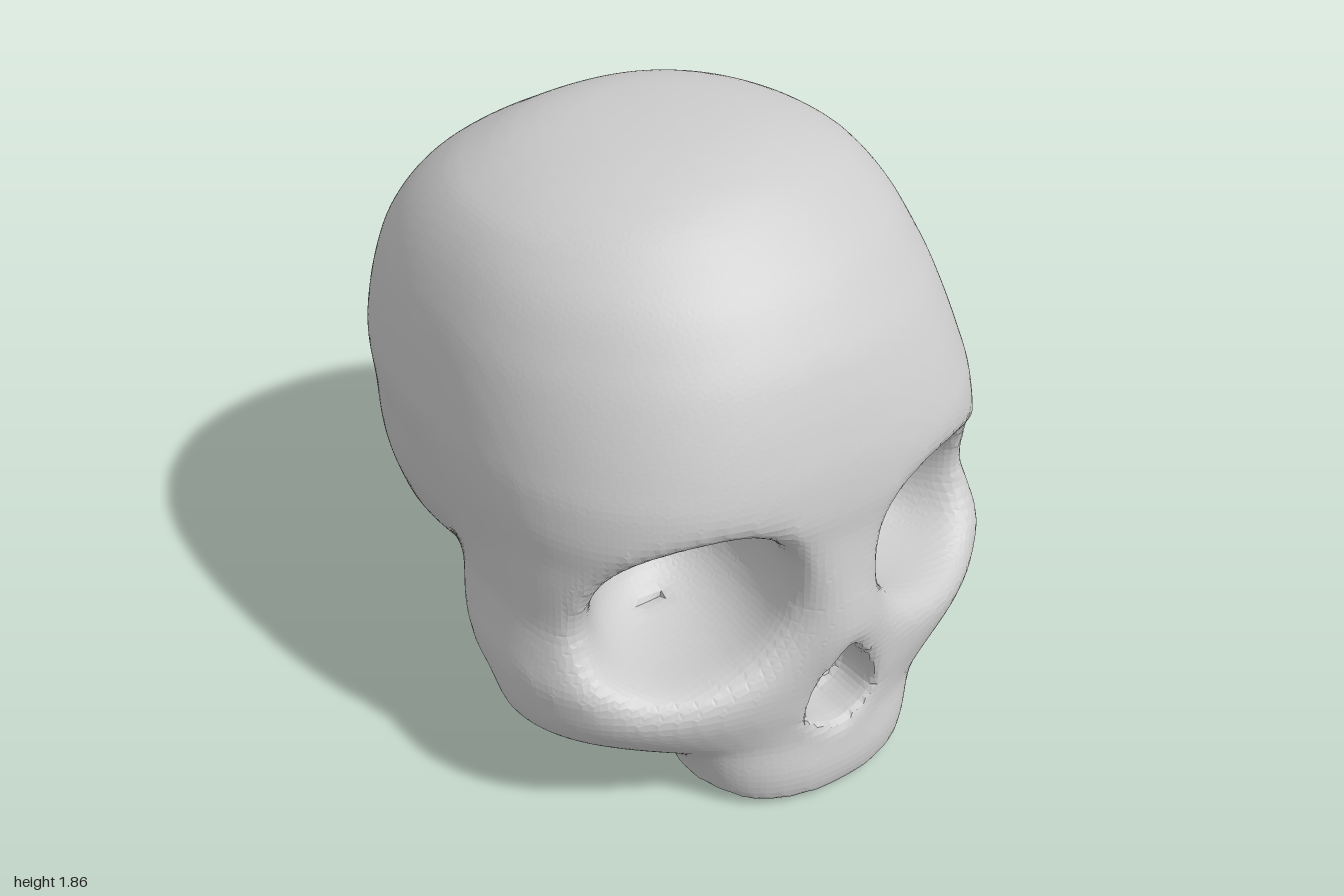
import * as THREE from 'three';

// Smooth monotone curve through rows of [y, a, b, ...]; returns y => [a, b, ...]
function profile(rows) {
  const slopes = rows.slice(1).map((r, i) => r.map((v, c) => (v - rows[i][c]) / (r[0] - rows[i][0])));
  const tangents = rows.map((r, i) => r.map((_, c) => {
    const a = (slopes[i - 1] ?? slopes[i])[c], b = (slopes[i] ?? slopes[i - 1])[c];
    return a * b > 0 ? (2 * a * b) / (a + b) : 0;
  }));
  return (y) => {
    const last = rows.length - 1;
    if (y <= rows[0][0]) return rows[0].slice(1);
    if (y >= rows[last][0]) return rows[last].slice(1);
    let i = 0;
    while (y > rows[i + 1][0]) i++;
    const h = rows[i + 1][0] - rows[i][0], t = (y - rows[i][0]) / h, s = 1 - t;
    const out = [];
    for (let c = 1; c < rows[0].length; c++) {
      out.push(s * s * (1 + 2 * t) * rows[i][c] + t * t * (3 - 2 * t) * rows[i + 1][c]
        + h * t * s * (s * tangents[i][c] - t * tangents[i + 1][c]));
    }
    return out;
  };
}

// Soft blends of two solids (negative inside)
const join = (a, b, k) => Math.min(a, b) - Math.max(k - Math.abs(a - b), 0) ** 2 / (4 * k);
const carve = (a, b, k) => -join(-a, b, k);

// Rounded horizontal section with half width w, widest at zm, from zb to zf
function section(x, z, w, zf, zm, zb, nFront, nBack) {
  const d = z - zm, n = d > 0 ? nFront : nBack;
  const h = Math.max(d > 0 ? zf - zm : zm - zb, 0.002), hw = Math.max(w, 0.002);
  const q = (Math.abs(x) / hw) ** n + (Math.abs(d) / h) ** n;
  return (q ** (1 / n) - 1) * Math.min(hw, h, 0.5);
}

// Braincase: y, half width, front z, back z, squareness of the front
const craniumRows = profile([
  [0.185, 0.02, -0.39, -0.43, 2], [0.2, 0.2, -0.28, -0.51, 2], [0.25, 0.36, -0.18, -0.64, 2],
  [0.3, 0.46, -0.14, -0.72, 2], [0.4, 0.57, -0.1, -0.81, 2.1], [0.45, 0.62, 0, -0.835, 2.2],
  [0.5, 0.66, 0.15, -0.855, 2.3], [0.6, 0.72, 0.4, -0.89, 2.5], [0.8, 0.79, 0.7, -0.955, 2.6],
  [1, 0.815, 0.92, -0.993, 2.8], [1.1, 0.822, 0.915, -1, 2.75], [1.2, 0.81, 0.89, -0.985, 2.6],
  [1.4, 0.77, 0.805, -0.91, 2.35], [1.5, 0.735, 0.74, -0.84, 2.25], [1.6, 0.685, 0.66, -0.74, 2.2],
  [1.7, 0.605, 0.55, -0.6, 2.1], [1.75, 0.53, 0.485, -0.515, 2.1], [1.8, 0.42, 0.4, -0.425, 2],
  [1.84, 0.27, 0.27, -0.3, 2], [1.855, 0.15, 0.16, -0.18, 2], [1.862, 0.02, 0.02, -0.04, 2],
]);
function cranium(x, y, z) {
  const [w, zf, zb, n] = craniumRows(y);
  return Math.max(section(x, z, w, zf, 0.52 * zf + 0.48 * zb, zb, n, 2.25), y - 1.862, 0.185 - y);
}

// Face, cheekbones and upper jaw: y, half width, front z, widest z, back z, squareness of the front
const faceRows = profile([
  [0, 0.3, 0.965, 0.75, 0.67, 2.3], [0.03, 0.38, 0.985, 0.67, 0.59, 2.3], [0.1, 0.4, 0.99, 0.66, 0.53, 2.3],
  [0.18, 0.46, 0.975, 0.6, 0.45, 2.2], [0.22, 0.58, 0.97, 0.52, 0.41, 1.85], [0.27, 0.74, 0.965, 0.46, 0.35, 1.8],
  [0.32, 0.82, 0.96, 0.43, 0.27, 1.9], [0.37, 0.84, 0.96, 0.42, 0.18, 2.05], [0.41, 0.845, 0.955, 0.42, 0.06, 2.15],
  [0.425, 0.845, 0.955, 0.42, -0.08, 2.2], [0.45, 0.845, 0.955, 0.42, -0.16, 2.2],
  [0.5, 0.845, 0.95, 0.42, -0.2, 2.3], [0.6, 0.82, 0.95, 0.4, -0.25, 2.3], [0.7, 0.8, 0.945, 0.35, -0.3, 2.3],
  [0.85, 0.8, 0.94, 0.3, -0.4, 2.35], [1, 0.8, 0.925, 0.2, -0.4, 2.5], [1.18, 0.74, 0.87, 0.1, -0.4, 2.4],
]);
function face(x, y, z) {
  const [w, zf, zm, zb, n] = faceRows(y);
  const bridge = 0.05 * Math.exp(-((x / 0.14) ** 2) - ((y - 0.6) / 0.2) ** 2);
  return Math.max(section(x, z, w, zf + bridge, zm, zb, n, 2.6), y - 1.18, 0.25 * x * x - y);
}

// Hollow under the face, open to the back: y, half width, front z
const hollowRows = profile([
  [-0.05, 0.28, 0.85], [0.1, 0.28, 0.83], [0.2, 0.37, 0.75], [0.27, 0.58, 0.69], [0.35, 0.71, 0.64],
  [0.45, 0.71, 0.56], [0.5, 0.62, 0.48], [0.54, 0.36, 0.4], [0.56, 0.04, 0.34],
]);
function hollow(x, y, z) {
  const [w, zf] = hollowRows(y);
  return Math.max(section(x, z, w, zf, 0.3, -3, 2.4, 8), y - 0.56);
}

// Eye sockets: mirrored bowls that lean towards the middle and droop outwards
function sockets(x, y, z) {
  const depth = Math.max(0.87 - z, 0) / 0.52, n = 2.3;
  const u = (Math.abs(x) - 0.448 + 0.13 * depth) / 0.3;
  const v = (y - 0.755 + 0.04 * depth + 0.03 * u) / 0.25;
  return ((Math.abs(u) ** n + Math.abs(v) ** n + depth ** n) ** (1 / n) - 1) * 0.27;
}

// Teardrop nose opening: y, half width
const noseRows = profile([[0.24, 0], [0.27, 0.08], [0.33, 0.125], [0.4, 0.108], [0.5, 0.05], [0.57, 0]]);
const nose = (x, y, z) => Math.max(Math.abs(x) - noseRows(y)[0], 0.78 - z, 0.24 - y, y - 0.57);

function skull(x, y, z) {
  let d = carve(face(x, y, z), hollow(x, y, z), 0.04);
  d = join(cranium(x, y, z), d, 0.03);
  // firm brow, softer lower rim
  const softness = 0.07 + 0.05 * THREE.MathUtils.smoothstep(-y, -0.95, -0.6);
  d = carve(d, sockets(x, y, z), softness);
  return carve(d, nose(x, y, z), 0.025);
}

// Wraps a solid in an even net of quads
function wrap(solid, min, size, cell) {
  const dims = size.map((s) => Math.round(s / cell) + 1);
  const step = [1, dims[0], dims[0] * dims[1]];
  const at = (i, j, k) => [min[0] + i * cell, min[1] + j * cell, min[2] + k * cell];
  const value = new Float32Array(dims[0] * dims[1] * dims[2]);
  const each = (fn) => {
    for (let k = 0; k < dims[2]; k++) for (let j = 0; j < dims[1]; j++) for (let i = 0; i < dims[0]; i++) {
      fn([i, j, k], i + j * step[1] + k * step[2]);
    }
  };
  each((n, id) => { value[id] = solid(...at(...n)); });

  // Every crossed grid edge feeds the four cells around it and makes one quad
  const points = new Map(), quads = [];
  each((n, id) => {
    for (let a = 0; a < 3; a++) {
      if (n[a] + 1 >= dims[a]) continue;
      const inside = value[id] < 0;
      if (inside === value[id + step[a]] < 0) continue;
      const p = at(...n), start = p[a];
      let lo = 0, hi = cell;
      for (let s = 0; s < 7; s++) {
        const mid = (lo + hi) / 2;
        p[a] = start + mid;
        if (solid(...p) < 0 === inside) lo = mid; else hi = mid;
      }
      const b = step[(a + 1) % 3], c = step[(a + 2) % 3];
      const quad = [id - b - c, id - c, id, id - b];
      for (const q of quad) {
        if (!points.has(q)) points.set(q, [0, 0, 0, 0]);
        const sum = points.get(q);
        p.forEach((v, i) => { sum[i] += v; });
        sum[3]++;
      }
      quads.push(inside ? quad : quad.reverse());
    }
  });
  for (const [id, s] of points) points.set(id, [s[0] / s[3], s[1] / s[3], s[2] / s[3]]);

  // Relax the net a little
  for (let pass = 0; pass < 4; pass++) {
    const sums = new Map([...points.keys()].map((id) => [id, [0, 0, 0, 0]]));
    for (const q of quads) q.forEach((id, i) => {
      const sum = sums.get(id), next = points.get(q[(i + 1) % 4]);
      for (let c = 0; c < 3; c++) sum[c] += next[c];
      sum[3]++;
    });
    for (const [id, p] of points) {
      const s = sums.get(id);
      for (let c = 0; c < 3; c++) p[c] = 0.5 * p[c] + (0.5 * s[c]) / s[3];
    }
  }
  return quads.map((q) => q.map((id) => points.get(id)));
}

// Which part of the skull a quad belongs to
function partName(quad) {
  const c = [0, 1, 2].map((i) => quad.reduce((s, p) => s + p[i] / 4, 0));
  if (nose(...c) < 0.015) return 'noseCavity';
  if (sockets(...c) < 0.015) return 'eyeSockets';
  if (cranium(...c) < 0.02) return 'cranium';
  return hollow(...c) < 0.02 ? 'faceHollow' : 'faceAndUpperJaw';
}

export function createModel() {
  const group = new THREE.Group();
  group.name = 'skull';
  const material = new THREE.MeshStandardMaterial({ color: 0xcccccc, flatShading: true });
  const parts = {};
  for (const quad of wrap(skull, [-0.9, -0.05, -1.05], [1.8, 1.975, 2.1], 0.025)) {
    const [a, b, c, d] = quad;
    (parts[partName(quad)] ??= []).push(...a, ...b, ...c, ...a, ...c, ...d);
  }
  for (const [name, positions] of Object.entries(parts)) {
    const geometry = new THREE.BufferGeometry();
    geometry.setAttribute('position', new THREE.Float32BufferAttribute(positions, 3));
    geometry.computeVertexNormals();
    const mesh = new THREE.Mesh(geometry, material);
    mesh.name = name;
    group.add(mesh);
  }
  return group;
}
